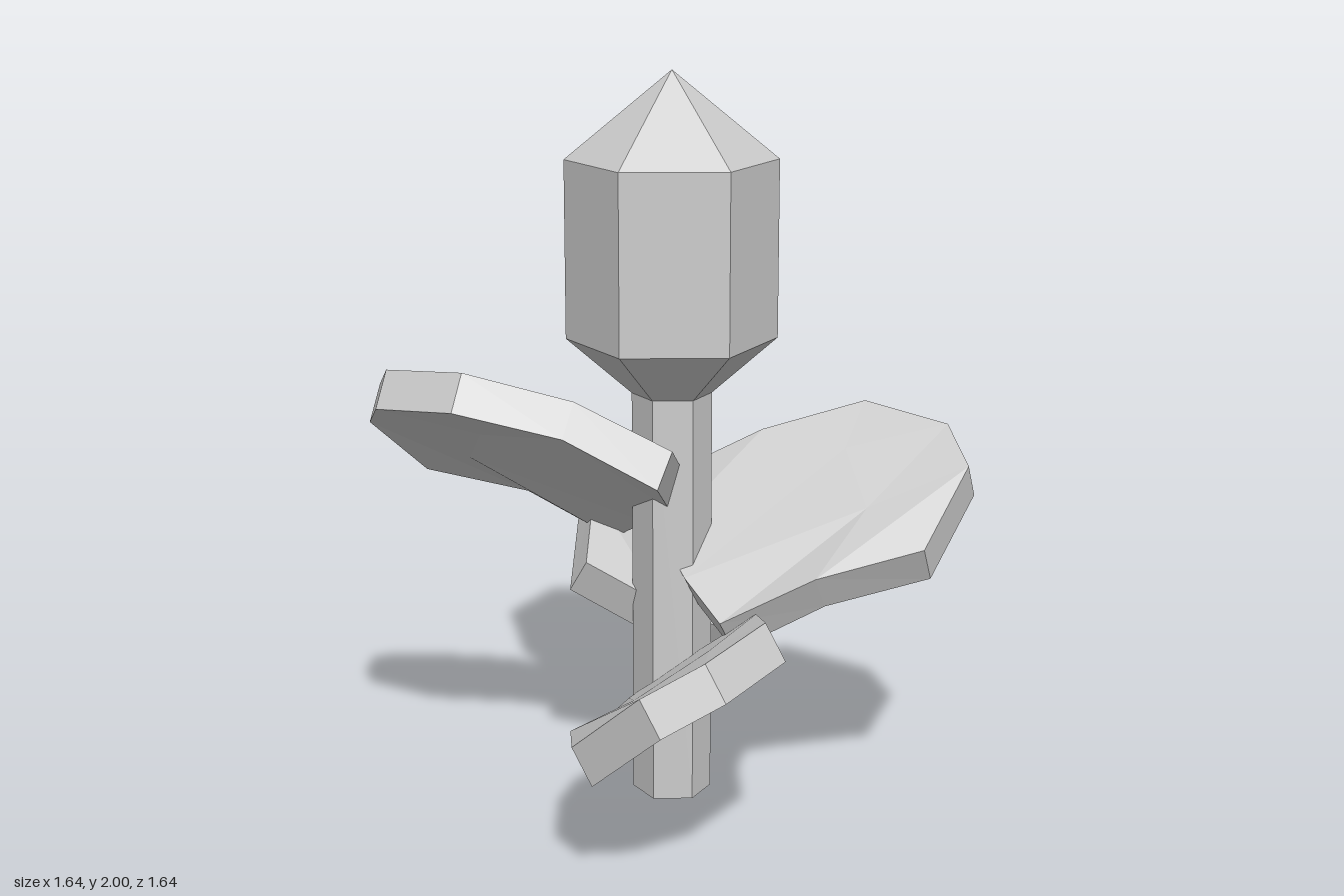
import * as THREE from 'three';

const material = new THREE.MeshStandardMaterial({ color: 0xcccccc, flatShading: true });

// Six-sided turned part with corners on the x axis
function hexLathe(name, profile) {
  const points = profile.map(([r, y]) => new THREE.Vector2(r, y));
  const mesh = new THREE.Mesh(new THREE.LatheGeometry(points, 6, Math.PI / 6), material);
  mesh.name = name;
  return mesh;
}

// Thick leaf growing along +z, its +x edge raised; rows run root to tip
function leafGeometry() {
  const rows = [
    [[-0.25, 0.19, 0.12], [-0.12, 0.275, 0.03], [0.02, 0.355, -0.03], [0.235, 0.47, 0.005]],
    [[-0.276, 0.32, 0.37], [-0.11, 0.465, 0.52], [0.08, 0.58, 0.48], [0.215, 0.6, 0.26]],
    [[-0.267, 0.395, 0.655], [-0.1, 0.576, 0.792], [0.06, 0.652, 0.757], [0.22, 0.68, 0.547]],
  ];
  // Offset from upper to lower skin, per row
  const depth = [[0.046, -0.092, 0.04], [0.045, -0.09, 0.03], [0.05, -0.095, 0.026]];
  const upper = rows.flat();
  const lower = rows.flatMap((row, r) => row.map((p) => p.map((v, k) => v + depth[r][k])));
  const index = [];
  const quad = (a, b, c, d) => index.push(a, b, c, a, c, d);
  for (let r = 0; r < 2; r++) {
    for (let c = 0; c < 3; c++) {
      const a = r * 4 + c;
      quad(a, a + 4, a + 5, a + 1);
      quad(a + 12, a + 13, a + 17, a + 16);
    }
  }
  // Rim
  const rim = [0, 4, 8, 9, 10, 11, 7, 3, 2, 1];
  rim.forEach((a, i) => {
    const b = rim[(i + 1) % rim.length];
    quad(a, a + 12, b + 12, b);
  });
  const geometry = new THREE.BufferGeometry();
  geometry.setAttribute('position', new THREE.Float32BufferAttribute([...upper, ...lower].flat(), 3));
  geometry.setIndex(index);
  const flat = geometry.toNonIndexed();
  flat.computeVertexNormals();
  return flat;
}

export function createModel() {
  const group = new THREE.Group();
  group.name = 'plant';

  // Stem and pointed bud
  group.add(hexLathe('stem', [[0, 0], [0.108, 0], [0.108, 1.145]]));
  group.add(hexLathe('bud', [[0, 1.14], [0.108, 1.14], [0.283, 1.29], [0.283, 1.768], [0, 2]]));

  // Leaves, each a step higher up the stem
  const leaf = leafGeometry();
  [['front', 0], ['back', Math.PI], ['left', Math.PI / 2], ['right', -Math.PI / 2]].forEach(([side, turn], i) => {
    const mesh = new THREE.Mesh(leaf, material);
    mesh.name = side + 'Leaf';
    mesh.rotation.y = turn;
    mesh.position.y = 0.19 * i;
    group.add(mesh);
  });
  return group;
}
